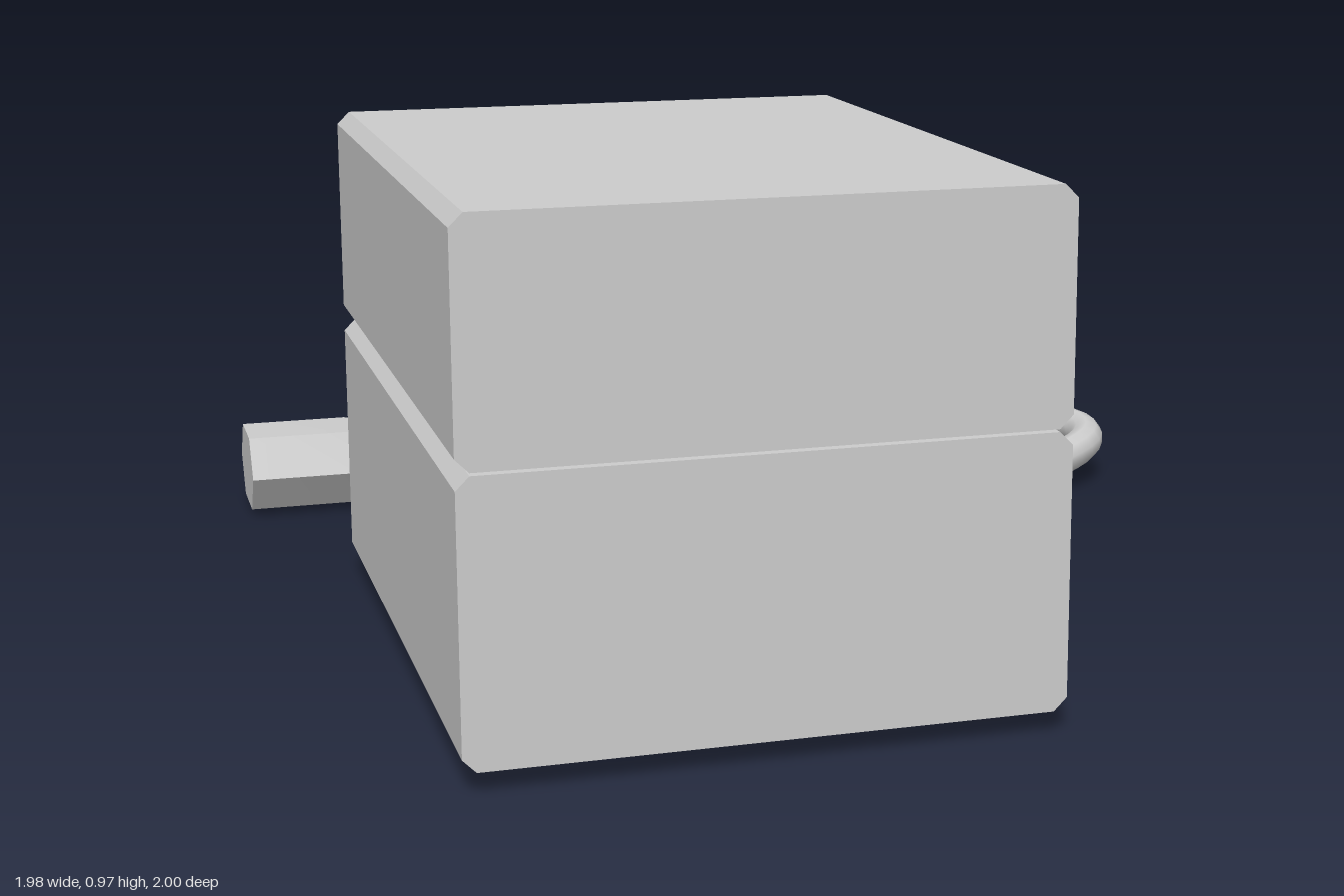
import * as THREE from 'three';
import { toCreasedNormals } from 'three/addons/utils/BufferGeometryUtils.js';

const material = new THREE.MeshStandardMaterial({ color: 0xcccccc, side: THREE.DoubleSide });
const PANEL = -0.295; // z of the control panels, which face -z

function add(parent, name, geometry, x = 0, y = 0, z = 0) {
  const mesh = new THREE.Mesh(geometry, material);
  mesh.name = name;
  mesh.position.set(x, y, z);
  parent.add(mesh);
  return mesh;
}

// Rectangle with chamfered corners
function outline(x0, x1, y0, y1, c, Type = THREE.Shape) {
  return new Type([[x0 + c, y0], [x1 - c, y0], [x1, y0 + c], [x1, y1 - c],
    [x1 - c, y1], [x0 + c, y1], [x0, y1 - c], [x0, y0 + c]].map(p => new THREE.Vector2(...p)));
}

function extrude(shape, z0, z1, holes = []) {
  shape.holes.push(...holes);
  const g = new THREE.ExtrudeGeometry(shape, { depth: z1 - z0, bevelEnabled: false });
  return g.translate(0, 0, z0);
}

// Turned part whose axis points out of the panel: points are [radius, height]
function turned(points, sides) {
  const g = new THREE.LatheGeometry(points.map(p => new THREE.Vector2(...p)), sides);
  return toCreasedNormals(g.rotateX(-Math.PI / 2), 0.8);
}

// Case with a raised rim round its panel
function makeCase(name, y0, y1, window) {
  const group = new THREE.Group();
  group.name = name;
  const X0 = -0.84, X1 = 0.22, w = 0.018;
  add(group, 'caseBody', extrude(outline(X0, X1, y0, y1, 0.024), -0.265, 1));
  const holes = window ? [outline(...window, 0.001, THREE.Path)] : [];
  add(group, 'panel', extrude(outline(X0, X1, y0, y1, 0.024), PANEL, -0.265, holes));
  add(group, 'rim', extrude(outline(X0, X1, y0, y1, 0.024), -0.31, PANEL,
    [outline(X0 + w, X1 - w, y0 + w, y1 - w, 0.016, THREE.Path)]));
  return group;
}

// Tapered control knob with a skirt and a pointer ridge
function knob(parent, x, y, r, h) {
  const group = new THREE.Group();
  group.name = 'knob';
  group.position.set(x, y, PANEL);
  add(group, 'knobBody', turned([[r, 0], [r, h * 0.25], [r * 0.88, h * 0.35], [r * 0.7, h], [0, h]], 10));
  add(group, 'pointer', new THREE.BoxGeometry(r * 0.18, r * 0.7, 0.006), 0, r * 0.3, -h);
  parent.add(group);
}

function makeCable() {
  const curve = new THREE.CatmullRomCurve3([
    [0.13, 0.11, -0.40], [0.145, 0.10, -0.45], [0.19, 0.07, -0.49], [0.28, 0.045, -0.503],
    [0.42, 0.04, -0.497], [0.54, 0.04, -0.50], [0.63, 0.05, -0.475], [0.72, 0.058, -0.46],
    [0.83, 0.075, -0.492], [0.92, 0.092, -0.56], [0.945, 0.10, -0.645], [0.90, 0.105, -0.75],
    [0.81, 0.10, -0.84], [0.68, 0.098, -0.868], [0.2, 0.098, -0.868], [-0.3, 0.098, -0.868],
    [-0.62, 0.098, -0.868]].map(p => new THREE.Vector3(...p)), false, 'centripetal');
  const length = curve.getLength(), rows = 72, sides = 10, R = 0.04;
  const g = new THREE.TubeGeometry(curve, rows, R, sides);
  const p = g.attributes.position, n = g.attributes.normal;
  // thin lead at the socket, thick middle, taper into the microphone
  for (let i = 0; i < p.count; i++) {
    const s = Math.floor(i / (sides + 1)) / rows * length;
    const r = Math.min(0.011 + 0.029 * THREE.MathUtils.clamp((s - 0.19) / 0.22, 0, 1),
      0.022 + 0.018 * THREE.MathUtils.clamp((length - s) / 0.22, 0, 1));
    p.setXYZ(i, p.getX(i) + n.getX(i) * (r - R), p.getY(i) + n.getY(i) * (r - R),
      p.getZ(i) + n.getZ(i) * (r - R));
  }
  return g;
}

// Hexagonal microphone lofted along x: sections are [x, half depth, half height]
function makeMicrophone() {
  const sections = [[-1, 0, 0], [-1, 0.13, 0.082], [-0.77, 0.13, 0.082], [-0.67, 0.1, 0.068],
    [-0.59, 0.06, 0.045], [-0.59, 0, 0]];
  const hex = [[1, 0], [0.55, 1], [-0.55, 1], [-1, 0], [-0.55, -1], [0.55, -1]];
  const pos = [], index = [];
  sections.forEach(([x, d, h]) => hex.forEach(([a, b]) => pos.push(x, 0.098 + b * h, -0.868 + a * d)));
  for (let i = 0; i < sections.length - 1; i++) {
    for (let j = 0; j < 6; j++) {
      const a = i * 6 + j, b = i * 6 + (j + 1) % 6;
      index.push(a, a + 6, b, b, a + 6, b + 6);
    }
  }
  const g = new THREE.BufferGeometry();
  g.setAttribute('position', new THREE.Float32BufferAttribute(pos, 3));
  g.setIndex(index);
  return toCreasedNormals(g, 0.75);
}

export function createModel() {
  const model = new THREE.Group();
  model.name = 'radioSet';

  // Upper unit: indicator lamps, round lamp, knob row, large selector
  const upper = makeCase('upperUnit', 0.545, 0.965);
  model.add(upper);
  for (let i = 0; i < 4; i++) {
    add(upper, 'pushButton', new THREE.BoxGeometry(0.04, 0.03, 0.03), -0.38 - i * 0.075, 0.88, PANEL);
  }
  add(upper, 'roundLamp', turned([[0.045, 0], [0.045, 0.01], [0.03, 0.024], [0, 0.026]], 12), -0.765, 0.89, PANEL);
  for (const x of [-0.03, -0.155, -0.285, -0.44, -0.59]) knob(upper, x, 0.605, 0.038, 0.062);
  knob(upper, -0.71, 0.71, 0.064, 0.082);
  add(upper, 'stud', turned([[0.014, 0], [0.012, 0.018], [0, 0.018]], 8), -0.51, 0.69, PANEL);

  // Lower unit with a sunken display
  const lower = makeCase('lowerUnit', 0.04, 0.54, [-0.5, 0.14, 0.335, 0.5]);
  model.add(lower);
  add(lower, 'displayKnob', new THREE.BoxGeometry(0.065, 0.065, 0.09), -0.285, 0.42, -0.31);
  for (const y of [0.43, 0.285, 0.13]) {
    knob(lower, -0.59, y, 0.038, 0.062);
    knob(lower, -0.72, y, 0.038, 0.062);
  }
  for (const x of [-0.03, -0.155]) knob(lower, x, 0.13, 0.038, 0.062);
  for (const [x, y] of [[0.15, 0.215], [0.06, 0.26], [0.14, 0.27], [-0.655, 0.21]]) {
    add(lower, 'stud', turned([[0.014, 0], [0.012, 0.02], [0, 0.02]], 8), x, y, PANEL);
  }
  for (let i = 0; i < 5; i++) {
    add(lower, 'lamp', new THREE.BoxGeometry(0.016, 0.018, 0.02), -0.02 - i * 0.035, 0.255, PANEL);
  }

  // Tuning dial with its finger crank
  add(lower, 'tuningDial', turned([[0.118, 0], [0.118, 0.015], [0.1, 0.03], [0.075, 0.034],
    [0.068, 0.065], [0, 0.065]], 20), -0.365, 0.18, PANEL);
  add(lower, 'dialCrank', turned([[0.013, 0], [0.013, 0.108], [0, 0.108]], 8), -0.357, 0.218, PANEL);

  // Socket, cable and hand microphone
  add(model, 'microphonePlug', turned([[0.052, 0], [0.05, 0.03], [0.034, 0.115], [0, 0.115]], 10), 0.13, 0.113, PANEL);
  add(model, 'microphoneCable', makeCable());
  add(model, 'microphone', makeMicrophone());
  return model;
}
